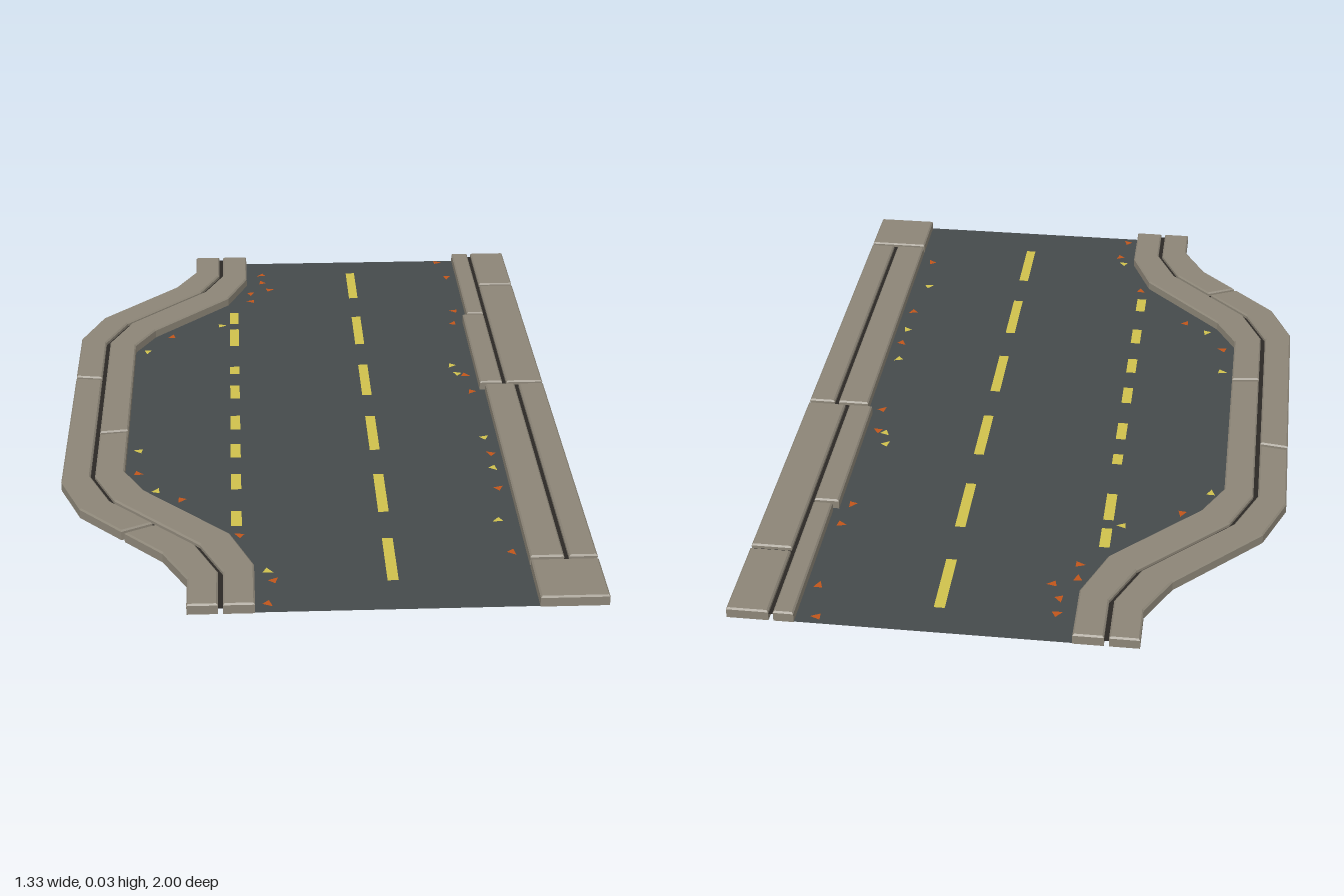
import * as THREE from 'three';

const mat = (name, color, side = THREE.FrontSide) => {
  const m = new THREE.MeshStandardMaterial({ color, side });
  m.name = name;
  return m;
};

export function createModel() {
  const stone = mat('stone', 0x8c8577);
  const joint = mat('dark joint', 0x2b2825, THREE.DoubleSide);
  const asphalt = mat('asphalt', 0x454a4b, THREE.DoubleSide);
  const yellow = mat('yellow', 0xcfc14c, THREE.DoubleSide);
  const orange = mat('orange', 0xc0551a, THREE.DoubleSide);

  const H = 0.028, BEVEL = 0.004, GAP = 0.006;
  const root = new THREE.Group();
  root.name = 'roadSegment';
  const group = (name) => {
    const g = new THREE.Group();
    g.name = name;
    root.add(g);
    return g;
  };
  const add = (parent, name, geo, material) => {
    const m = new THREE.Mesh(geo, material);
    m.name = name;
    parent.add(m);
  };
  // Outline given as [x, z] points
  const outline = (pts) => new THREE.Shape(pts.map(([x, z]) => new THREE.Vector2(x, -z)));
  const rect = (x0, x1, z0, z1) => [[x0, z0], [x0, z1], [x1, z1], [x1, z0]];
  const sheet = (parent, name, pts, y, material) =>
    add(parent, name, new THREE.ShapeGeometry(outline(pts)).rotateX(-Math.PI / 2).translate(0, y, 0), material);

  // Paving slab with a chamfered top edge and a flat underside
  const slab = (parent, name, pts) => {
    const geo = new THREE.ExtrudeGeometry(outline(pts), {
      depth: H - BEVEL, bevelEnabled: true, bevelSegments: 1,
      bevelSize: BEVEL, bevelThickness: BEVEL, bevelOffset: -BEVEL,
    }).rotateX(-Math.PI / 2);
    const p = geo.attributes.position;
    for (let i = 0; i < p.count; i++) p.setY(i, Math.max(0, p.getY(i)));
    geo.computeVertexNormals();
    add(parent, name, geo, stone);
  };

  // Curved pavement: three lines, each mirrored front to back
  const mirrored = (half) => [...half, ...half.map(([x, z]) => [x, -z]).reverse()];
  const outer = mirrored([[-0.333, -1], [-0.333, -0.888], [-0.395, -0.773], [-0.61, -0.558], [-0.667, -0.42]]);
  const middle = mirrored([[-0.253, -1], [-0.253, -0.86], [-0.31, -0.737], [-0.53, -0.52], [-0.587, -0.393]]);
  const inner = mirrored([[-0.172, -1], [-0.172, -0.83], [-0.23, -0.688], [-0.45, -0.47], [-0.505, -0.37]]);
  const shift = (path, dx) => path.map(([x, z]) => [x + dx, z]);

  // Part of a path between two fractional point indices
  const at = (path, t) => {
    const i = Math.min(Math.floor(t), path.length - 2), f = t - i;
    return [0, 1].map((k) => path[i][k] + (path[i + 1][k] - path[i][k]) * f);
  };
  const section = (path, a, b) => [
    at(path, a), ...path.filter((_, i) => i > a && i < b), at(path, b),
  ];
  const curved = group('curvedPavement');
  const strip = (name, a, b, cuts) => cuts.forEach(([s, e], i) =>
    slab(curved, name + (i + 1), [...section(a, s, e), ...section(b, s, e).reverse()]));
  strip('outerSlab', outer, shift(middle, -GAP), [[0, 4.293], [4.307, 6.51], [6.55, 9]]);
  strip('innerSlab', shift(middle, GAP), inner, [[0, 4.703], [4.717, 9]]);
  sheet(curved, 'curvedJoints', [...shift(outer, 0.015), ...shift(inner, -0.015).reverse()], 0.016, joint);

  // Straight pavement: x0, x1, z0, z1 of each slab
  const straight = group('straightPavement');
  [
    [0.5, 0.55, -1, -0.551], [0.562, 0.665, -1, -0.76], [0.562, 0.665, -0.748, -0.094],
    [0.486, 0.55, -0.541, -0.094], [0.5, 0.583, -0.082, 0.824],
    [0.595, 0.665, -0.082, 0.824], [0.5, 0.665, 0.836, 1],
  ].forEach((s, i) => slab(straight, 'straightSlab' + (i + 1), rect(...s)));
  sheet(straight, 'straightJoints', rect(0.505, 0.66, -0.995, 0.995), 0.016, joint);

  // Road surface
  sheet(root, 'road', [...shift(inner, -0.008), [0.508, 1], [0.508, -1]], 0.002, asphalt);

  // Lane markings
  const marks = group('laneMarkings');
  [-0.91, -0.585, -0.26, 0.055, 0.375, 0.69].forEach((z) =>
    sheet(marks, 'laneDash', rect(0.148, 0.175, z, z + 0.19), 0.004, yellow));
  [[-0.627, -0.548], [-0.512, -0.398], [-0.262, -0.215], [-0.143, -0.064],
    [0.038, 0.117], [0.198, 0.272], [0.36, 0.438], [0.546, 0.618]].forEach(([a, b]) =>
    sheet(marks, 'parkingDash', rect(-0.227, -0.2, a, b), 0.004, yellow));

  // Fallen leaves lying in the gutters
  const leaves = group('leaves');
  const scatter = (name, spots, material) => spots.forEach(([x, z], i) => {
    const tri = [0, 2.2, 3.9].map((a) => [x + 0.015 * Math.cos(a + i * 1.7), z + 0.015 * Math.sin(a + i * 1.7)]);
    sheet(leaves, name, tri, 0.006, material);
  });
  scatter('orangeLeaf', [
    [0.45, -0.98], [0.47, -0.86], [0.465, -0.61], [0.455, -0.525], [0.455, -0.18], [0.46, -0.075],
    [0.47, 0.28], [0.47, 0.46], [0.465, 0.77], [-0.125, -0.9], [-0.125, -0.845], [-0.1, -0.79],
    [-0.16, -0.76], [-0.16, -0.705], [-0.4, -0.465], [-0.47, 0.35], [-0.355, 0.49], [-0.208, 0.665],
    [-0.125, 0.87], [-0.14, 0.97],
  ], orange);
  scatter('yellowLeaf', [
    [-0.25, -0.535], [-0.47, -0.365], [-0.475, 0.23], [-0.42, 0.44], [-0.138, 0.83],
    [0.42, -0.24], [0.43, -0.19], [0.465, 0.19], [0.47, 0.357], [0.447, 0.62],
  ], yellow);

  return root;
}
